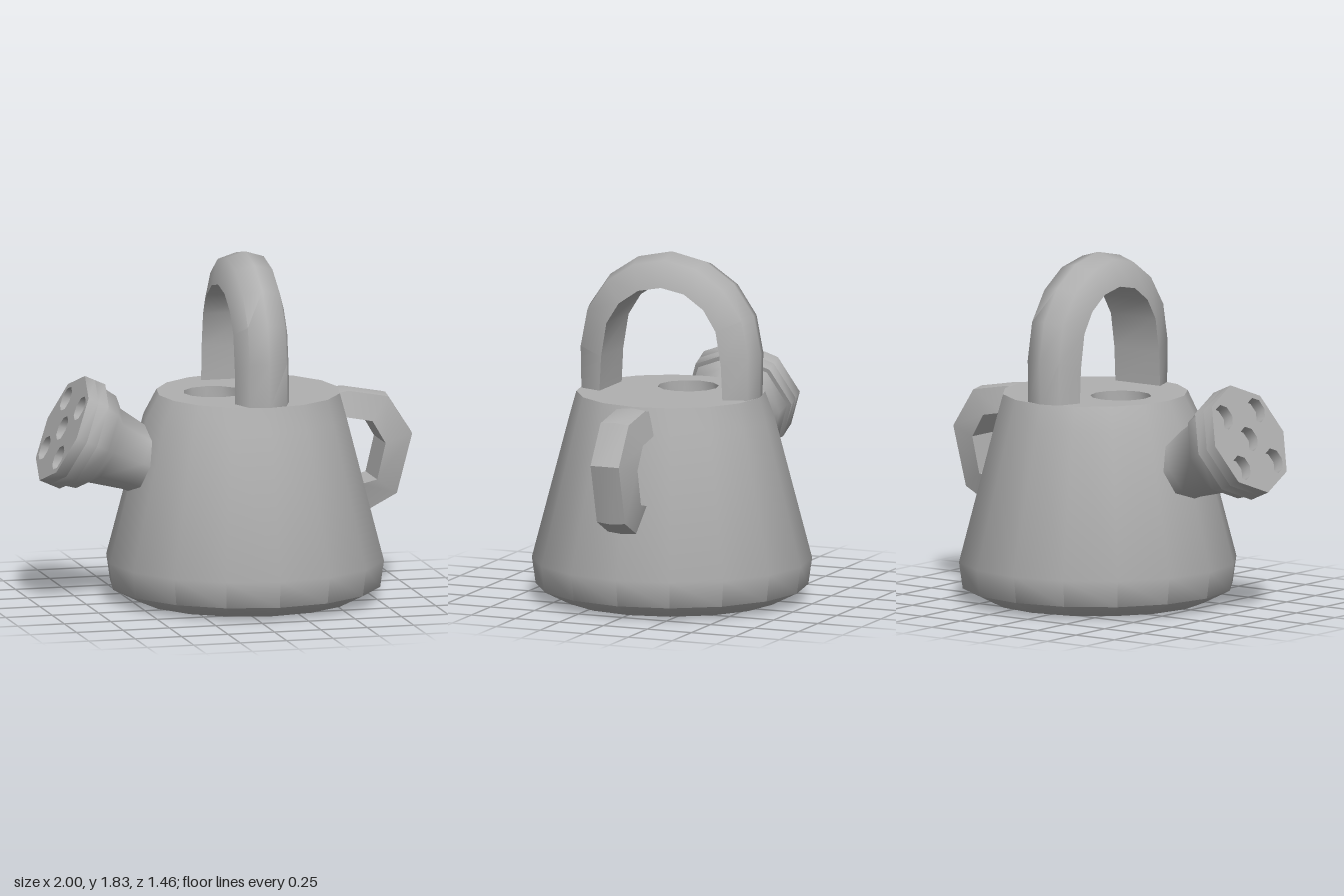
import * as THREE from 'three';
import { toCreasedNormals } from 'three/addons/utils/BufferGeometryUtils.js';

const AXIS_X = 0.105; // vertical axis of the can
const TOP_Y = 1.09;
const CREASE = 1.0;

const vec2 = (pts) => pts.map(([x, y]) => new THREE.Vector2(x, y));

// Corners of a regular polygon with a corner on the +x axis
const polygon = (sides, radius, cx = 0, cy = 0) =>
  Array.from({ length: sides }, (_, i) => {
    const a = (i / sides) * Math.PI * 2;
    return new THREE.Vector2(cx + radius * Math.cos(a), cy + radius * Math.sin(a));
  });

// The rim is pulled in slightly on the spout side
const rimScale = (x, z) => 1 - 0.07 * Math.max(0, -x / Math.hypot(x, z));

// Bar swept between an inner and an outer path; section = [side offset, inner-to-outer fraction]
function barGeometry(inner, outer, section, place) {
  const pts = [];
  const index = [];
  const n = section.length;
  inner.forEach((a, i) => {
    const b = outer[i];
    for (const [s, t] of section) pts.push(place(a[0] + (b[0] - a[0]) * t, a[1] + (b[1] - a[1]) * t, s));
  });
  const last = (inner.length - 1) * n;
  for (let i = 0; i < last; i += n) {
    for (let j = 0; j < n; j++) {
      const k = (j + 1) % n;
      index.push(i + j, i + k, i + n + k, i + j, i + n + k, i + n + j);
    }
  }
  for (let j = 1; j < n - 1; j++) index.push(0, j + 1, j, last, last + j, last + j + 1);

  // Make the faces point outwards
  let volume = 0;
  for (let i = 0; i < index.length; i += 3) {
    const [a, b, c] = [pts[index[i]], pts[index[i + 1]], pts[index[i + 2]]];
    volume += a.dot(b.clone().cross(c));
  }
  if (volume < 0) index.reverse();
  return new THREE.BufferGeometry().setFromPoints(pts).setIndex(index);
}

export function createModel() {
  const model = new THREE.Group();
  model.name = 'wateringCan';
  const grey = new THREE.MeshStandardMaterial({ color: 0xb0b0b0 });
  grey.name = 'plain grey';

  const add = (parent, name, geometry, crease = CREASE) => {
    const mesh = new THREE.Mesh(toCreasedNormals(geometry, crease), grey);
    mesh.name = name;
    parent.add(mesh);
    return mesh;
  };

  // Tapered body with a rounded foot
  const bodyGeo = new THREE.LatheGeometry(vec2([
    [0, 0], [0.57, 0], [0.71, 0.07], [0.73, 0.21], [0.534, 0.96], [0.498, TOP_Y],
  ]), 16);
  const p = bodyGeo.attributes.position;
  for (let i = 0; i < p.count; i++) {
    if (p.getY(i) < TOP_Y - 0.01) continue;
    const k = rimScale(p.getX(i), p.getZ(i));
    p.setX(i, p.getX(i) * k);
    p.setZ(i, p.getZ(i) * k);
  }
  add(model, 'body', bodyGeo).position.x = AXIS_X;

  // Flat top with the filling hole
  const hole = { x: -0.165, z: -0.02, r: 0.16 };
  const lid = new THREE.Shape(polygon(16, 0.498).map((v) => v.multiplyScalar(rimScale(v.x, v.y))));
  lid.holes.push(new THREE.Path(polygon(12, hole.r, hole.x, -hole.z)));
  add(model, 'top', new THREE.ShapeGeometry(lid).rotateX(-Math.PI / 2)).position.set(AXIS_X, TOP_Y, 0);
  const well = new THREE.LatheGeometry(vec2([[hole.r, 0], [hole.r, -0.1], [0, -0.1]]), 12);
  add(model, 'fillingHole', well).position.set(AXIS_X + hole.x, TOP_Y, hole.z);

  // Carrying arch over the top, mirrored front to back: [z, y]
  const mirrored = (half) => [...half, ...half.slice(0, -1).reverse().map(([z, y]) => [-z, y])];
  const archInner = mirrored([[0.35, 1.07], [0.34, 1.27], [0.31, 1.45], [0.24, 1.56], [0.13, 1.635], [0, 1.66]]);
  const archOuter = mirrored([[0.497, 1.07], [0.505, 1.32], [0.465, 1.52], [0.35, 1.685], [0.19, 1.79], [0, 1.83]]);
  const archSection = [[-0.145, 0], [-0.1, 0.82], [0, 1], [0.1, 0.82], [0.145, 0]];
  add(model, 'topHandle', barGeometry(archInner, archOuter, archSection,
    (z, y, s) => new THREE.Vector3(AXIS_X + s, y, z)));

  // Angular grip on the side opposite the spout: [x, y]
  const gripInner = [[0.58, 0.95], [0.76, 0.92], [0.83, 0.8], [0.785, 0.61], [0.7, 0.59]];
  const gripOuter = [[0.59, 1.08], [0.64, 1.09], [0.86, 1.05], [0.995, 0.84], [0.91, 0.52], [0.76, 0.44]];
  gripInner.splice(1, 0, [0.63, 0.945]);
  const gripSection = [[-0.12, 0], [-0.08, 0.93], [0, 1], [0.08, 0.93], [0.12, 0]];
  add(model, 'sideHandle', barGeometry(gripInner, gripOuter, gripSection,
    (x, y, s) => new THREE.Vector3(x, y, s)), 0.5);

  // Spout, built along its own axis with the sprinkler face at the origin
  const spout = new THREE.Group();
  spout.name = 'spout';
  spout.position.set(-0.88, 0.94, 0);
  spout.rotation.z = 1.146;
  model.add(spout);
  add(spout, 'spoutNeck', new THREE.LatheGeometry(vec2([
    [0.165, -0.6], [0.175, -0.43], [0.21, -0.25], [0.262, -0.2], [0.275, -0.125],
    [0.297, -0.12], [0.297, -0.06], [0, -0.06],
  ]), 8));

  // Sprinkler face with five holes
  const face = new THREE.Shape(polygon(8, 0.297));
  for (const [x, y] of [[0, 0], [0.14, 0.14], [-0.14, 0.14], [0.14, -0.14], [-0.14, -0.14]]) {
    face.holes.push(new THREE.Path(polygon(8, 0.068, x, y)));
  }
  const faceGeo = new THREE.ExtrudeGeometry(face, { depth: 0.06, bevelEnabled: false });
  add(spout, 'sprinklerFace', faceGeo.rotateX(-Math.PI / 2).translate(0, -0.06, 0));

  return model;
}
